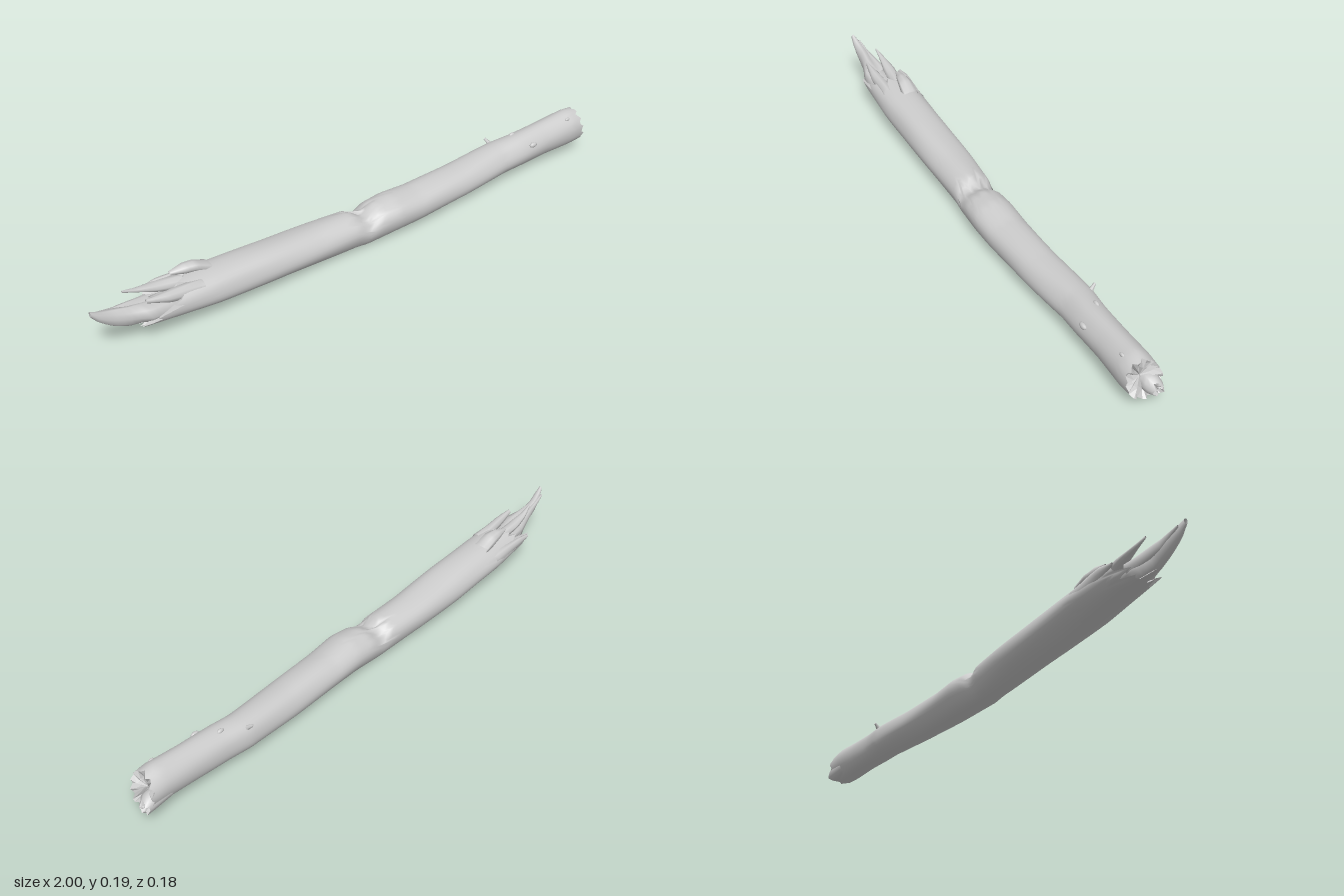
import * as THREE from 'three';

const material = new THREE.MeshStandardMaterial({ color: 0xcccccc, side: THREE.DoubleSide });

// Sections along the log: x, bottom y, top y, back z, front z
const LOG = [
  [-0.92, 0.085, 0.15, -0.03, 0.03], [-0.85, 0.07, 0.152, -0.055, 0.052],
  [-0.78, 0.06, 0.158, -0.08, 0.06], [-0.6, 0.038, 0.155, -0.088, 0.068],
  [-0.4, 0.022, 0.145, -0.084, 0.07], [-0.2, 0.012, 0.134, -0.075, 0.068],
  [-0.06, 0.006, 0.13, -0.064, 0.07], [-0.02, 0.003, 0.103, -0.056, 0.07],
  [0.03, 0.005, 0.132, -0.06, 0.078], [0.1, 0.01, 0.139, -0.06, 0.084],
  [0.2, 0.012, 0.128, -0.06, 0.082], [0.4, 0.015, 0.13, -0.06, 0.074],
  [0.6, 0.025, 0.14, -0.06, 0.062], [0.68, 0.029, 0.146, -0.05, 0.066],
  [0.8, 0.034, 0.156, -0.042, 0.066], [0.92, 0.038, 0.166, -0.038, 0.074],
  [1.0, 0.042, 0.155, -0.036, 0.07],
];

// Splinters of the snapped end, in the same section format
const SPLINTERS = {
  longSplinter: [
    [-1.0, 0.172, 0.192, 0.002, 0.014], [-0.975, 0.14, 0.178, -0.008, 0.018],
    [-0.93, 0.105, 0.16, -0.018, 0.018], [-0.88, 0.085, 0.147, -0.022, 0.028],
    [-0.82, 0.07, 0.14, -0.04, 0.045], [-0.72, 0.07, 0.13, -0.04, 0.04]],
  twinSplinter: [
    [-0.985, 0.165, 0.172, -0.012, -0.006], [-0.92, 0.125, 0.155, -0.022, -0.002],
    [-0.8, 0.09, 0.14, -0.05, 0.0]],
  curledSplinter: [
    [-0.875, 0.178, 0.186, -0.032, -0.026], [-0.83, 0.158, 0.172, -0.044, -0.022],
    [-0.77, 0.135, 0.165, -0.05, -0.012], [-0.68, 0.11, 0.155, -0.045, 0.0]],
  backSplinter: [
    [-0.79, 0.115, 0.125, -0.088, -0.078], [-0.74, 0.1, 0.135, -0.091, -0.068],
    [-0.6, 0.08, 0.13, -0.088, -0.05]],
  topSplinter: [
    [-0.71, 0.165, 0.172, -0.045, -0.03], [-0.665, 0.15, 0.183, -0.055, -0.012],
    [-0.63, 0.145, 0.182, -0.058, -0.005], [-0.58, 0.13, 0.16, -0.055, 0.0]],
  frontSplinter: [
    [-0.83, 0.15, 0.165, 0.02, 0.032], [-0.76, 0.125, 0.162, 0.012, 0.045],
    [-0.64, 0.1, 0.15, 0.0, 0.052]],
};

function sectionAt(rows, x) {
  let i = 0;
  while (i < rows.length - 2 && x > rows[i + 1][0]) i++;
  const k = THREE.MathUtils.clamp((x - rows[i][0]) / (rows[i + 1][0] - rows[i][0]), 0, 1);
  return rows[i].map((v, n) => THREE.MathUtils.lerp(v, rows[i + 1][n], k));
}

// Lofts elliptical sections; start and end give the x limits for each angle
function loft(rows, rings, sides, start, end, bump) {
  const pos = [], index = [];
  for (let i = 0; i <= rings; i++) {
    for (let j = 0; j < sides; j++) {
      const a = (j / sides) * Math.PI * 2;
      const x = THREE.MathUtils.lerp(start(j, a), end(j, a), i / rings);
      const [, y0, y1, z0, z1] = sectionAt(rows, x);
      const r = 1 + bump(x, a);
      pos.push(x, (y0 + y1) / 2 + Math.sin(a) * r * (y1 - y0) / 2,
        (z0 + z1) / 2 + Math.cos(a) * r * (z1 - z0) / 2);
    }
  }
  for (let i = 0; i < rings; i++) {
    for (let j = 0; j < sides; j++) {
      const k = (j + 1) % sides;
      const p = i * sides + j, q = i * sides + k;
      index.push(p, p + sides, q, q, p + sides, q + sides);
    }
  }
  const g = new THREE.BufferGeometry();
  g.setAttribute('position', new THREE.Float32BufferAttribute(pos, 3));
  g.setIndex(index);
  g.computeVertexNormals();
  return g;
}

// Rough fracture face: the rim steps inwards to a centre point
function fracture(shell, first, sides, dir, centreX) {
  const p = shell.attributes.position, rim = [], inner = [];
  const centre = new THREE.Vector3();
  for (let j = 0; j < sides; j++) {
    rim.push(new THREE.Vector3().fromBufferAttribute(p, first + j));
    centre.addScaledVector(rim[j], 1 / sides);
  }
  centre.x = centreX;
  rim.forEach((v, j) => {
    const w = v.clone().lerp(centre, 0.45);
    w.x = centreX + (v.x - centreX) * 0.35 + 0.012 * Math.sin(j * 2.3);
    inner.push(w);
  });
  const pts = [];
  const tri = (a, b, c) => pts.push(...(dir < 0 ? [a, b, c] : [a, c, b]));
  for (let j = 0; j < sides; j++) {
    const k = (j + 1) % sides;
    tri(centre, inner[j], inner[k]);
    tri(inner[j], rim[j], rim[k]);
    tri(inner[j], rim[k], inner[k]);
  }
  const g = new THREE.BufferGeometry().setFromPoints(pts);
  g.computeVertexNormals();
  return g;
}

export function createModel() {
  const group = new THREE.Group();
  const add = (name, geometry) => {
    const mesh = new THREE.Mesh(geometry, material);
    mesh.name = name;
    group.add(mesh);
    return mesh;
  };

  // Bark with gentle lengthwise ridges and ragged ends
  const SIDES = 36, RINGS = 110;
  const bark = loft(LOG, RINGS, SIDES,
    (j, a) => -0.775 + 0.075 * Math.sin(a) + 0.025 * Math.sin(j * 2.1) + 0.02 * Math.sin(j * 0.9),
    (j, a) => 0.968 - 0.012 * Math.sin(a) - 0.008 * Math.cos(a) + 0.008 * Math.sin(j * 1.9),
    (x, a) => 0.018 * Math.sin(3 * a + 4 * x) + 0.014 * Math.sin(5 * a - 7 * x)
      + 0.01 * Math.sin(2 * a + 17 * x));
  add('bark', bark);
  add('snappedEnd', fracture(bark, 0, SIDES, -1, -0.73));
  add('cutEnd', fracture(bark, RINGS * SIDES, SIDES, 1, 0.945));

  // Splinters rising from the snapped end
  for (const [name, rows] of Object.entries(SPLINTERS)) {
    const x0 = rows[0][0], x1 = rows[rows.length - 1][0];
    add(name, loft(rows, 14, 9, () => x0, () => x1,
      (x, a) => 0.1 * Math.sin(2 * a + 30 * x)));
  }

  // Chip standing out at the lower back of the cut end
  const chip = [[0.9, 0.05, 0.11, -0.035, 0.025], [0.975, 0.045, 0.105, -0.036, 0.02],
    [1.0, 0.05, 0.085, -0.034, 0.0]];
  const chipShell = loft(chip, 8, 12, () => 0.9, (j) => 0.993 + 0.007 * Math.sin(j * 2),
    () => 0);
  add('endChip', chipShell);
  add('endChipFace', fracture(chipShell, 8 * 12, 12, 1, 0.985));

  // Small knots and a broken twig stub
  for (const [x, y, z, r] of [[0.72, 0.118, 0.06, 0.012], [0.68, 0.143, -0.008, 0.01],
    [0.9, 0.15, 0.048, 0.008]]) {
    const knot = add('knot', new THREE.SphereGeometry(r, 10, 8));
    knot.scale.set(1.4, 0.8, 0.7);
    knot.position.set(x, y, z);
  }
  const twig = add('twigStub', new THREE.CylinderGeometry(0.004, 0.01, 0.035, 7));
  twig.position.set(0.6, 0.126, -0.045);
  twig.rotation.set(-0.9, 0, 0.3);

  return group;
}
